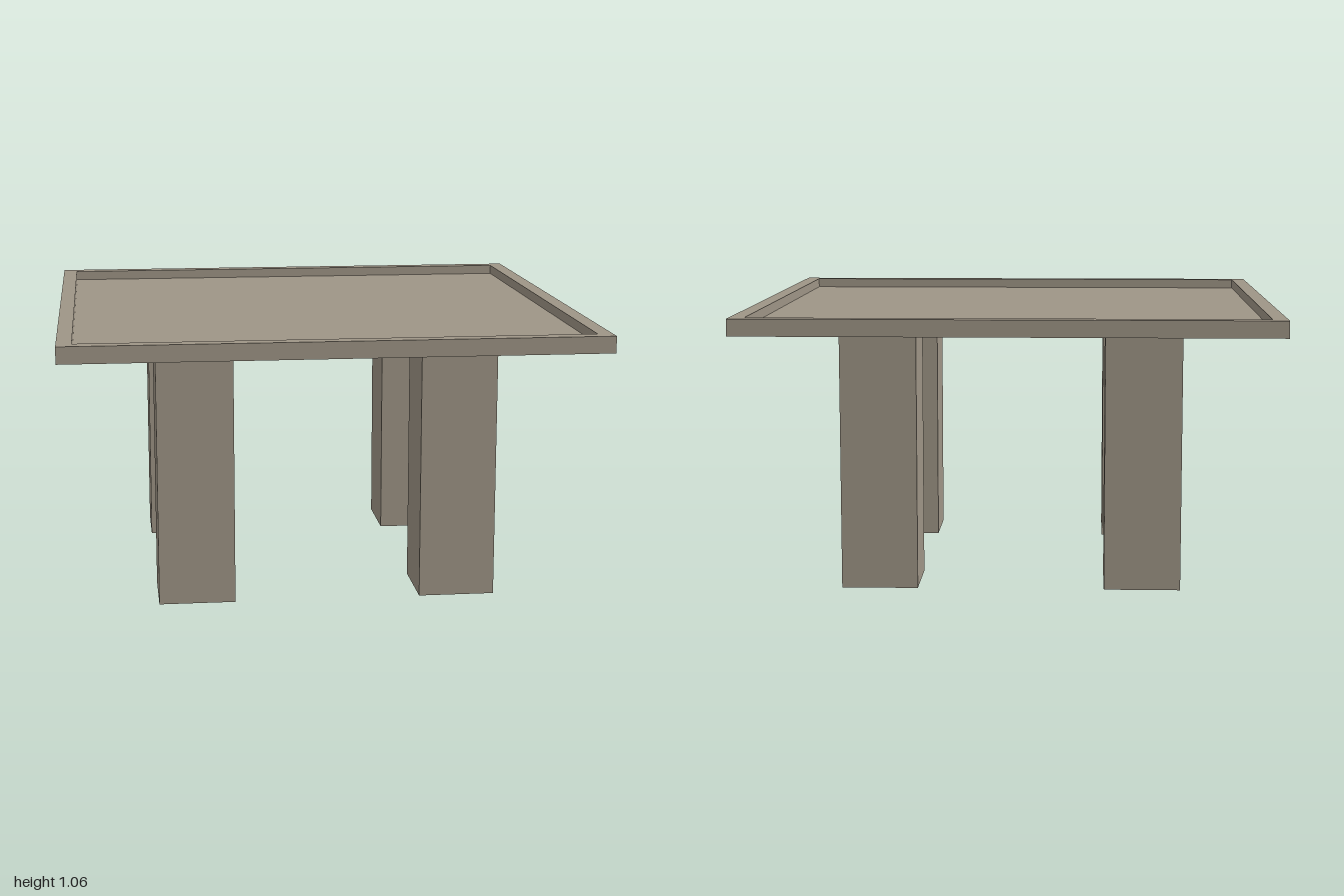
import * as THREE from 'three';

export function createModel() {
  const model = new THREE.Group();
  model.name = 'table';
  const taupe = new THREE.MeshStandardMaterial({ name: 'taupe', color: 0x9e9586 });

  const bottom = 1, thickness = 0.063, rimWidth = 0.056, panelThickness = 0.026;
  const inner = 1 - rimWidth;

  const add = (name, geometry, x, y, z) => {
    const mesh = new THREE.Mesh(geometry, taupe);
    mesh.name = name;
    mesh.position.set(x, y, z);
    model.add(mesh);
    return mesh;
  };
  const square = (path, h) =>
    path.moveTo(-h, -h).lineTo(h, -h).lineTo(h, h).lineTo(-h, h).closePath();

  // Raised square rim around the top
  const frame = square(new THREE.Shape(), 1);
  frame.holes.push(square(new THREE.Path(), inner));
  const rim = new THREE.ExtrudeGeometry(frame, { depth: thickness, bevelEnabled: false });
  rim.rotateX(-Math.PI / 2);
  add('tabletopRim', rim, 0, bottom, 0);

  // Sunken top panel inside the rim
  add('tabletopPanel', new THREE.BoxGeometry(inner * 2, panelThickness, inner * 2),
    0, bottom + panelThickness / 2, 0);

  // Four square legs
  const leg = new THREE.BoxGeometry(0.29, bottom, 0.29);
  for (const [side, x] of [['Left', 0.5], ['Right', -0.5]]) {
    for (const [end, z] of [['front', 0.5], ['back', -0.5]]) {
      add(`${end}${side}Leg`, leg, x, bottom / 2, z);
    }
  }
  return model;
}
